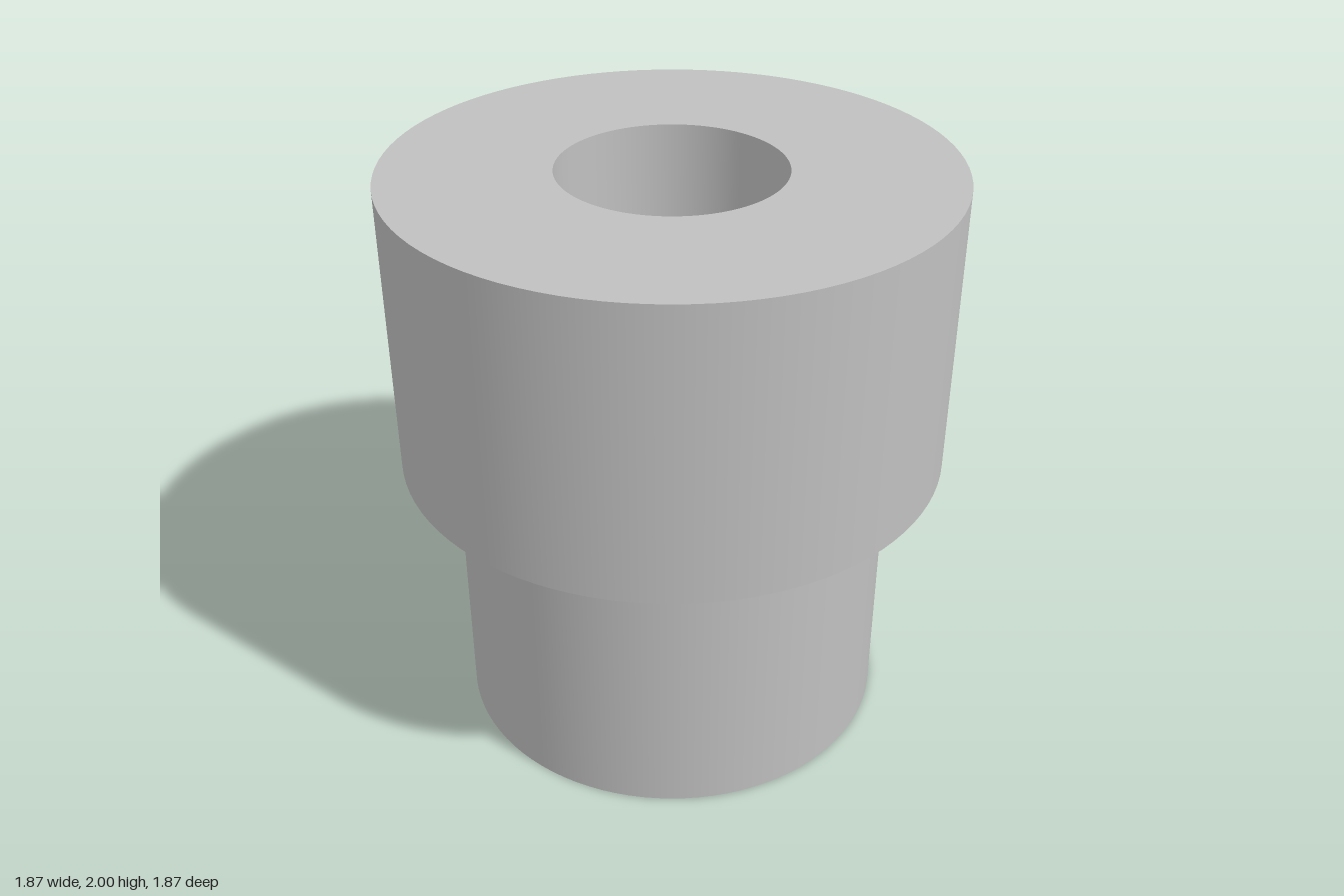
import * as THREE from 'three';

export function createModel() {
  const group = new THREE.Group();
  group.name = 'steppedBushing';

  const grey = new THREE.MeshStandardMaterial({ color: 0xc0c0c0 });
  grey.name = 'plain grey';

  const bore = 0.375, neck = 0.75, head = 0.935;

  // Closed profile as [name, radius, height]; each name covers the run to the next corner
  const profile = [
    ['bottomFace', bore, 0],
    ['neckWall', neck, 0],
    ['shoulder', neck, 1],
    ['headWall', head, 1],
    ['topFace', head, 2],
    ['boreWall', bore, 2],
  ];

  // One lathe per run keeps the rims sharp and the walls smooth
  profile.forEach(([name, r, y], i) => {
    const [, r2, y2] = profile[(i + 1) % profile.length];
    const points = [new THREE.Vector2(r, y), new THREE.Vector2(r2, y2)];
    const mesh = new THREE.Mesh(new THREE.LatheGeometry(points, 96), grey);
    mesh.name = name;
    group.add(mesh);
  });

  return group;
}
